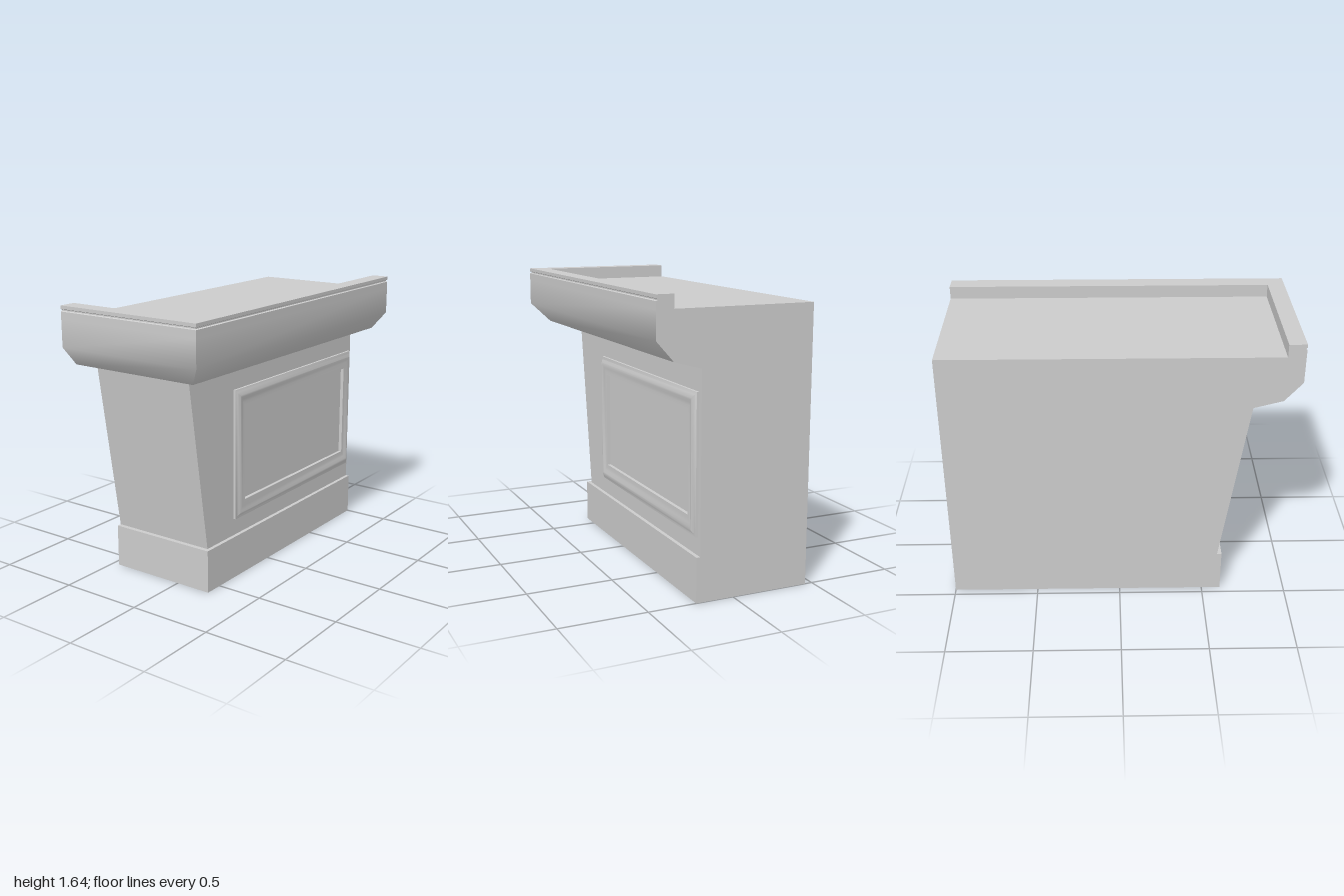
import * as THREE from 'three';
import { toCreasedNormals } from 'three/addons/utils/BufferGeometryUtils.js';

const BACK = -0.457, RIGHT = 1;

// Skins a stack of closed rings; caps (index triples) close both ends.
function loft(rings, caps = []) {
  const pos = [];
  const tri = (a, b, c) => [a, b, c].forEach(p => pos.push(...p));
  for (let k = 0; k < rings.length - 1; k++) {
    const lo = rings[k], hi = rings[k + 1], n = lo.length;
    for (let i = 0; i < n; i++) {
      const j = (i + 1) % n;
      tri(lo[i], lo[j], hi[j]);
      tri(lo[i], hi[j], hi[i]);
    }
  }
  const first = rings[0], last = rings[rings.length - 1];
  for (const [a, b, c] of caps) {
    tri(last[a], last[b], last[c]);
    tri(first[a], first[c], first[b]);
  }
  const geo = new THREE.BufferGeometry();
  geo.setAttribute('position', new THREE.Float32BufferAttribute(pos, 3));
  return toCreasedNormals(geo, 0.8);
}

// Full rectangular section: only the left and front faces move with height.
const block = ([x, z, y]) => [[x, y, z], [RIGHT, y, z], [RIGHT, y, BACK], [x, y, BACK]];
const BLOCK_CAPS = [[0, 1, 2], [0, 2, 3]];

// L-shaped section running along the front and the left end.
const IN_X = -0.9, IN_Z = 0.355;
const ell = ([x, z, y]) => [
  [x, y, z], [RIGHT, y, z], [RIGHT, y, IN_Z], [IN_X, y, IN_Z], [IN_X, y, BACK], [x, y, BACK]];
const ELL_CAPS = [[0, 1, 2], [0, 2, 3], [0, 3, 4], [0, 4, 5]];

// Mitred frame ring: t runs from the outer edge (0) to the inner edge (1).
const frame = ([t, z]) => {
  const x0 = -0.33 + 0.085 * t, x1 = 0.972 - 0.085 * t;
  const y0 = 0.357 + 0.103 * t, y1 = 1.136 - 0.103 * t;
  return [[x0, y0, z], [x1, y0, z], [x1, y1, z], [x0, y1, z]];
};

export function createModel() {
  const group = new THREE.Group();
  const material = new THREE.MeshStandardMaterial({ color: 0xcccccc });
  const add = (name, geometry) => {
    const mesh = new THREE.Mesh(geometry, material);
    mesh.name = name;
    group.add(mesh);
  };

  // Levels are [left x, front z, y]
  add('plinth', loft([[-0.612, 0.222, 0], [-0.612, 0.222, 0.255]].map(block), BLOCK_CAPS));
  add('body', loft([[-0.585, 0.2, 0.255], [-0.735, 0.2, 1.26]].map(block), BLOCK_CAPS));
  add('soffit', loft([[-0.735, 0.2, 1.26], [-0.9, 0.357, 1.303]].map(block), BLOCK_CAPS));

  // Sloped cornice up to the recessed countertop
  add('cornice', loft([
    [-0.9, 0.357, 1.303], [-1, 0.457, 1.415], [-1, 0.457, 1.57],
  ].map(block), BLOCK_CAPS));

  // Raised rim with a fine groove below its top edge
  add('rim', loft([
    [-1, 0.457, 1.57], [-1, 0.457, 1.612], [-0.992, 0.449, 1.616],
    [-0.992, 0.449, 1.622], [-1, 0.457, 1.626], [-1, 0.457, 1.645],
  ].map(ell), ELL_CAPS));

  // Moulded panel frame on the front
  add('panelMoulding', loft([
    [0, 0.2], [0, 0.214], [0.15, 0.219], [0.32, 0.23], [0.45, 0.23],
    [0.62, 0.223], [0.8, 0.221], [1, 0.221], [1, 0.2],
  ].map(frame)));

  return group;
}
